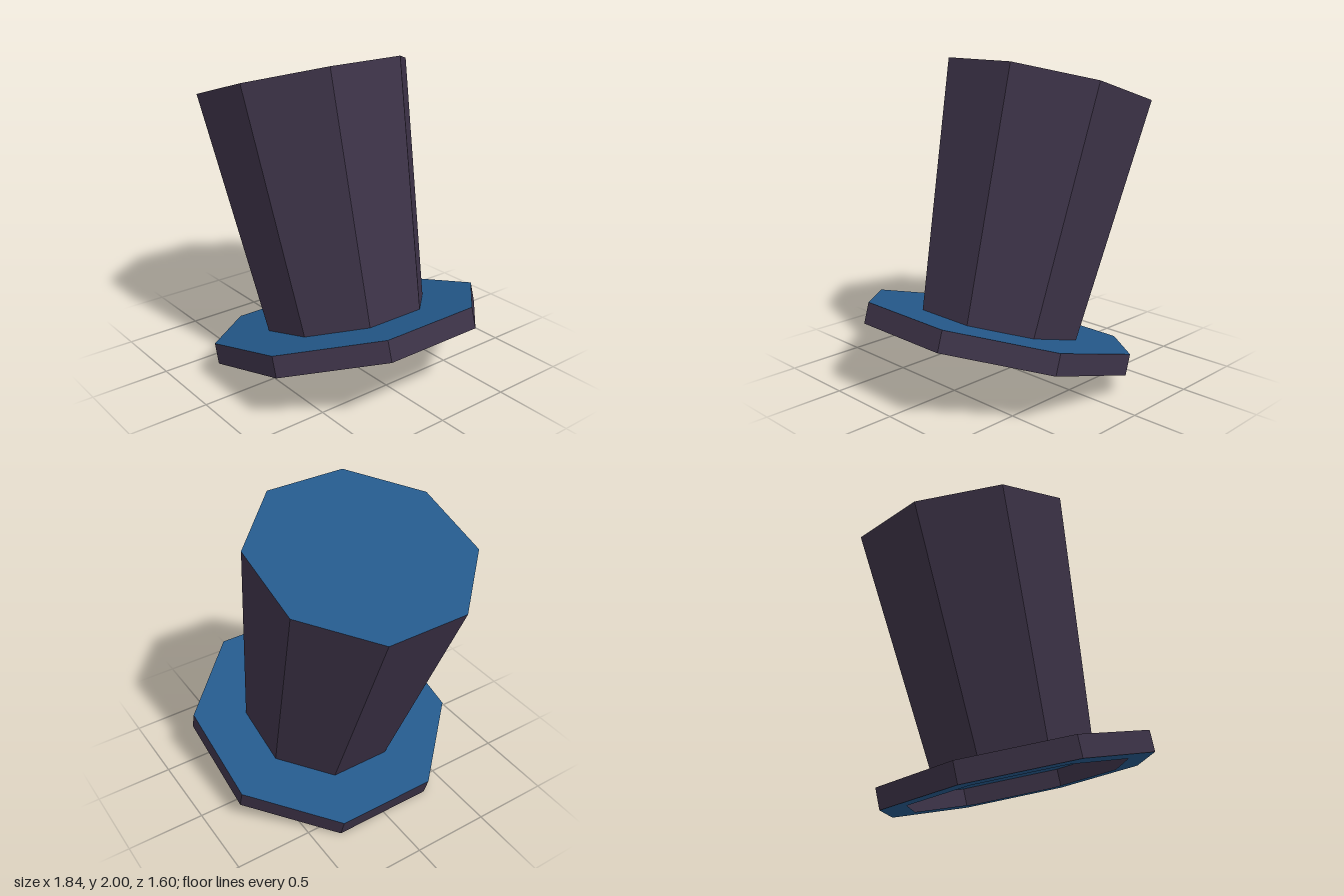
import * as THREE from 'three';

const SIDES = 8;
const TURN = Math.PI / SIDES;
// Octagon corner radius from its flat-to-centre distance
const corner = (flat) => flat / Math.cos(TURN);

export function createModel() {
  const felt = new THREE.MeshStandardMaterial({ color: 0x3d3348, side: THREE.DoubleSide });
  felt.name = 'dark purple felt';
  const blue = new THREE.MeshStandardMaterial({ color: 0x24588a, side: THREE.DoubleSide });
  blue.name = 'blue felt';
  const black = new THREE.MeshStandardMaterial({ color: 0x060606, side: THREE.DoubleSide });
  black.name = 'black lining';

  const model = new THREE.Group();
  model.name = 'topHat';
  const hat = new THREE.Group();
  hat.name = 'tiltedHat';
  model.add(hat);

  function add(name, geometry, material, y) {
    const mesh = new THREE.Mesh(geometry, material);
    mesh.name = name;
    mesh.position.y = y;
    hat.add(mesh);
  }

  // Open eight-sided wall with faceted normals
  function wall(name, bottom, top, y0, y1) {
    const g = new THREE.CylinderGeometry(corner(top), corner(bottom), y1 - y0, SIDES, 1, true, TURN).toNonIndexed();
    g.computeVertexNormals();
    add(name, g, felt, (y0 + y1) / 2);
  }

  // Flat eight-sided ring, facing up or down
  function ring(name, inner, outer, y, material, up) {
    const g = new THREE.RingGeometry(corner(inner), corner(outer), SIDES, 1, TURN);
    g.rotateX(up ? -Math.PI / 2 : Math.PI / 2);
    add(name, g, material, y);
  }

  const brim = 0.13, height = 1.66;

  // Hollow brim, open underneath
  wall('brimEdge', 0.8, 0.8, 0, brim);
  ring('brimTop', 0.48, 0.8, brim, blue, true);
  ring('brimUnderside', 0.65, 0.8, 0, blue, false);

  // Flared crown with a flat lid
  wall('crown', 0.48, 0.626, brim, height);
  const lid = new THREE.CircleGeometry(corner(0.626), SIDES, TURN);
  lid.rotateX(-Math.PI / 2);
  add('crownLid', lid, blue, height);

  // Inner band around the opening
  ring('innerBand', 0.33, 0.474, brim + 0.003, black, false);

  // Lean the hat to one side with its low brim edge on the ground
  hat.rotation.z = Math.atan2(0.46, 1.533);
  hat.position.set(0.148, 0.23, 0);
  return model;
}
